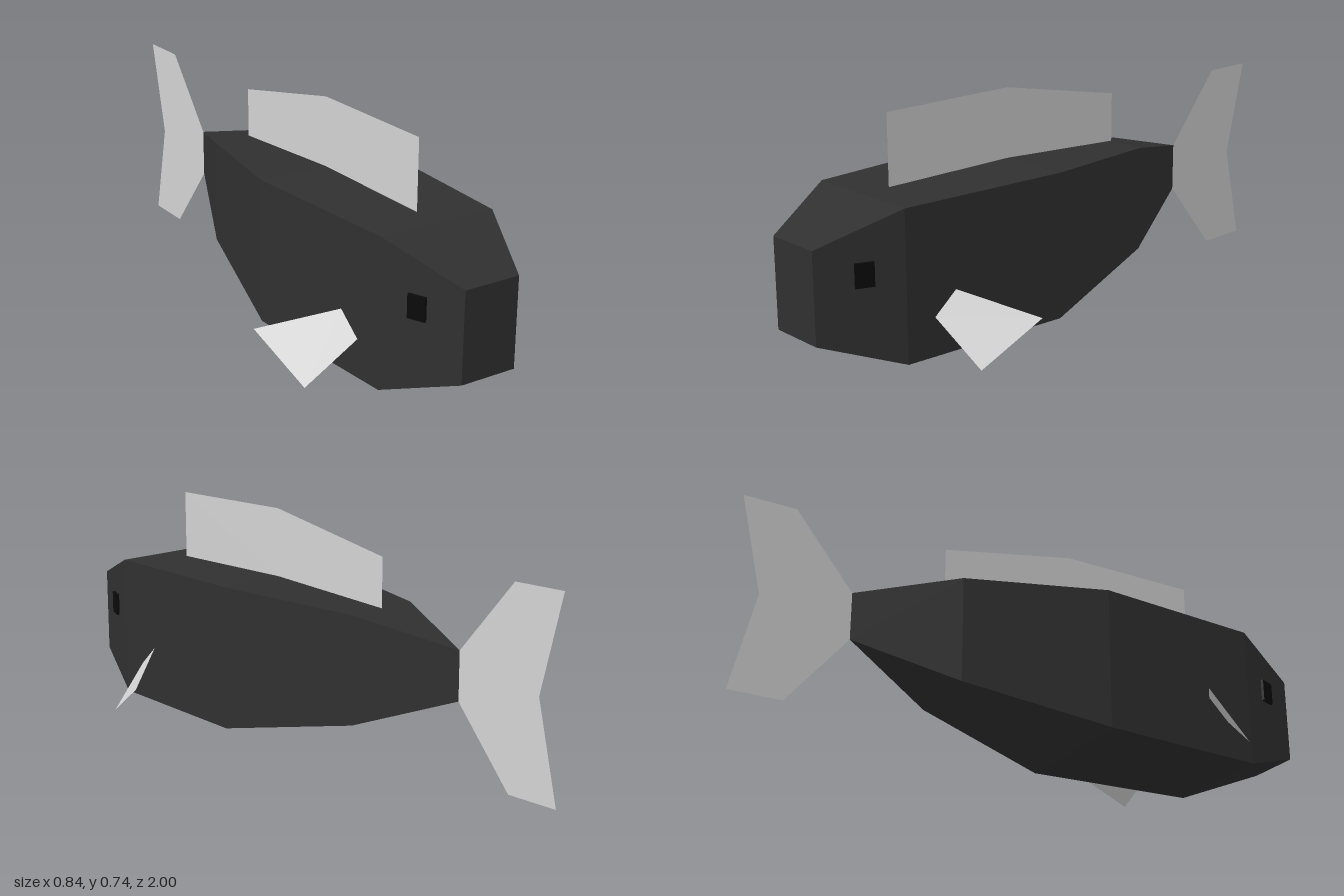
import * as THREE from 'three';

const mat = (name, color, extra = {}) =>
  Object.assign(new THREE.MeshStandardMaterial({ color, ...extra }), { name });

// Flat-faced geometry from quads of corner points
function quads(list) {
  const pos = [];
  for (const [a, b, c, d] of list) pos.push(...a, ...b, ...c, ...a, ...c, ...d);
  const g = new THREE.BufferGeometry();
  g.setAttribute('position', new THREE.Float32BufferAttribute(pos, 3));
  g.computeVertexNormals();
  return g;
}

// Flat fin in the x = 0 plane from [z, y] points
function sideFin(points) {
  const shape = new THREE.Shape(points.map(([z, y]) => new THREE.Vector2(z, y)));
  return new THREE.ShapeGeometry(shape).rotateY(-Math.PI / 2);
}

export function createModel() {
  const model = new THREE.Group();
  model.name = 'fish';
  const skin = mat('dark skin', 0x303030);
  const finGrey = mat('pale fin', 0xd2d2d2, { side: THREE.DoubleSide });
  const eyeBlack = mat('eye black', 0x0a0a0a);

  const add = (name, geometry, material) => {
    const mesh = new THREE.Mesh(geometry, material);
    mesh.name = name;
    model.add(mesh);
    return mesh;
  };

  // Body: rectangular sections [z, half width, bottom, top] from nose to tail
  const sections = [
    [1, 0.095, 0.125, 0.415],
    [0.75, 0.2, 0.03, 0.51],
    [0.17, 0.24, 0.03, 0.51],
    [-0.305, 0.133, 0.125, 0.48],
    [-0.625, 0, 0.245, 0.405],
  ];
  const rings = sections.map(([z, w, b, t]) => [[-w, b, z], [w, b, z], [w, t, z], [-w, t, z]]);
  const faces = [rings[0]];
  for (let i = 0; i < rings.length - 1; i++) {
    for (let k = 0; k < 4; k++) {
      const n = (k + 1) % 4;
      faces.push([rings[i][k], rings[i + 1][k], rings[i + 1][n], rings[i][n]]);
    }
  }
  add('body', quads(faces), skin);

  // Back and tail fins
  add('dorsalFin', sideFin([
    [0.65, 0.51], [0.65, 0.74], [0.17, 0.74], [-0.305, 0.645], [-0.305, 0.48], [0.17, 0.51],
  ]), finGrey);
  add('tailFin', sideFin([
    [-0.625, 0.405], [-0.825, 0.648], [-1, 0.648], [-0.925, 0.325],
    [-1, 0], [-0.825, 0], [-0.625, 0.245],
  ]), finGrey);

  // Mirrored pectoral fins and eyes
  for (const [side, s] of [['left', 1], ['right', -1]]) {
    const corners = [[0.207, 0.155, 0.652], [0.213, 0.225, 0.575], [0.42, 0.149, 0.418], [0.365, 0.022, 0.612]]
      .map(([x, y, z]) => [s * x, y, z]);
    if (s < 0) corners.reverse();
    add(side + 'PectoralFin', quads([corners]), finGrey);

    const eye = add(side + 'Eye', new THREE.BoxGeometry(0.058, 0.075, 0.009), eyeBlack);
    eye.position.set(s * 0.157, 0.327, 0.866);
    eye.rotation.y = s * 1.173;
  }
  return model;
}
